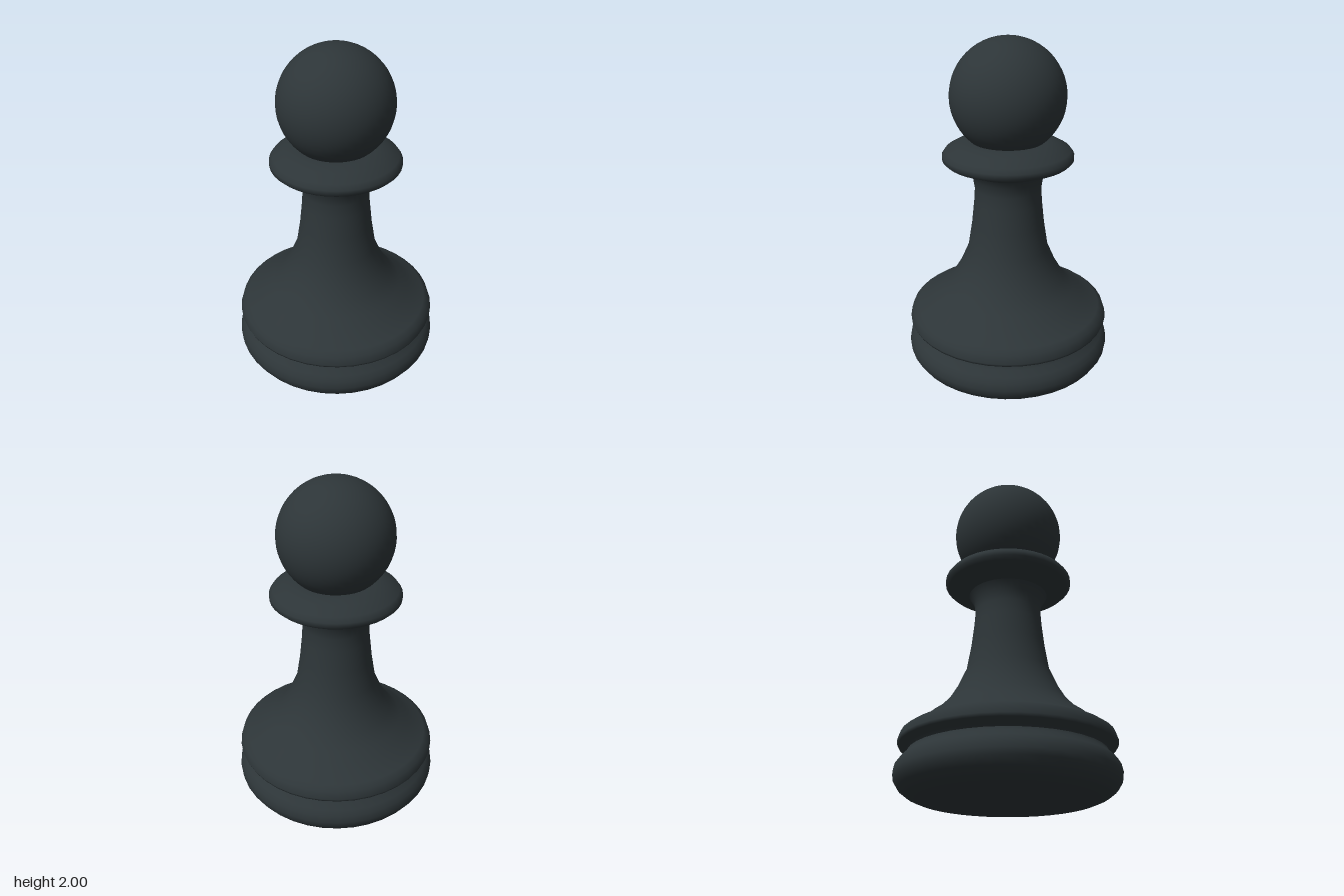
import * as THREE from 'three';

const SEGMENTS = 40;

export function createModel() {
  const model = new THREE.Group();
  model.name = 'pawn';
  const material = new THREE.MeshStandardMaterial({ color: 0x2d3538 });

  const add = (name, geometry, y = 0) => {
    const mesh = new THREE.Mesh(geometry, material);
    mesh.name = name;
    mesh.position.y = y;
    model.add(mesh);
  };
  // Turned part from [radius, height] pairs, listed bottom to top
  const turned = (name, profile) =>
    add(name, new THREE.LatheGeometry(profile.map(([r, y]) => new THREE.Vector2(r, y)), SEGMENTS));

  // Rounded foot with a flat underside, up to the groove
  turned('foot', [
    [0, 0], [0.39, 0.003], [0.5, 0.015], [0.55, 0.035], [0.59, 0.065], [0.615, 0.105],
    [0.62, 0.14], [0.612, 0.18], [0.59, 0.21], [0.56, 0.24], [0.552, 0.258],
  ]);

  // Ring above the groove, flowing into the waisted stem
  turned('stem', [
    [0.552, 0.258], [0.565, 0.275], [0.6, 0.293], [0.607, 0.31], [0.592, 0.357],
    [0.56, 0.38], [0.505, 0.405], [0.455, 0.45], [0.4, 0.49], [0.34, 0.555],
    [0.29, 0.64], [0.24, 0.755], [0.215, 0.91], [0.2, 1.05], [0.195, 1.13],
    [0.205, 1.195], [0.235, 1.24],
  ]);

  // Collar under the head
  turned('collar', [
    [0.235, 1.24], [0.29, 1.268], [0.36, 1.293], [0.38, 1.312], [0.38, 1.338],
    [0.36, 1.365], [0.3, 1.398], [0.25, 1.414], [0.2, 1.42], [0, 1.42],
  ]);

  // Ball head
  add('head', new THREE.SphereGeometry(0.33, SEGMENTS, 28), 1.67);

  return model;
}
